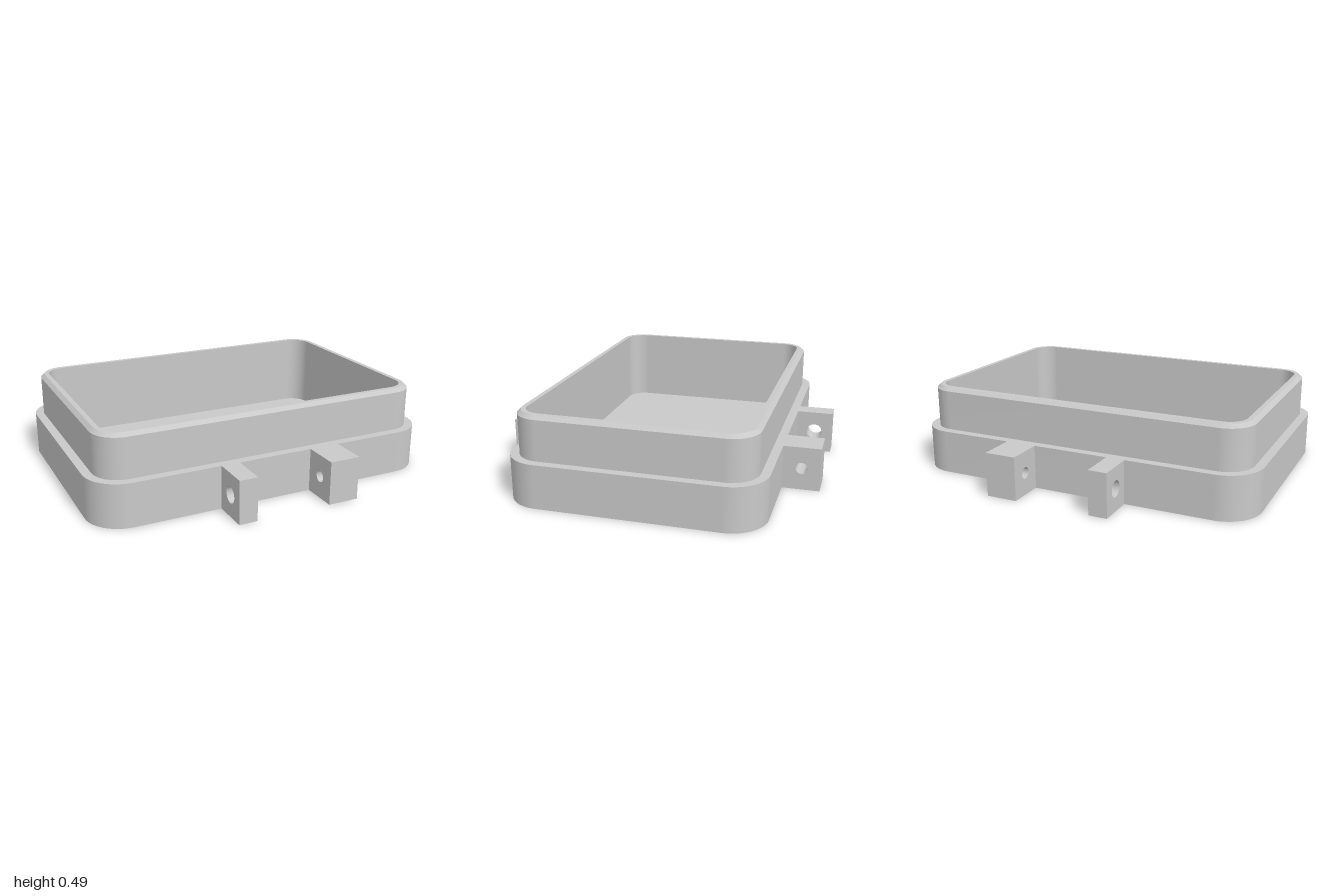
import * as THREE from 'three';
import { mergeGeometries, toCreasedNormals } from 'three/addons/utils/BufferGeometryUtils.js';

const ARC = 12; // segments per rounded corner

// Rounded rectangle loop, inset from the 2 x 1.38 footprint, at height y
function loop(inset, y) {
  const r = 0.2 - inset, points = [];
  for (let c = 0; c < 4; c++) {
    const cx = (c === 0 || c === 3 ? 1 : -1) * 0.8;
    const cz = (c < 2 ? 1 : -1) * 0.49;
    for (let i = 0; i <= ARC; i++) {
      const a = (c + i / ARC) * Math.PI / 2;
      points.push([cx + r * Math.cos(a), y, cz + r * Math.sin(a)]);
    }
  }
  return points;
}

function surface(points, index) {
  const g = new THREE.BufferGeometry();
  g.setAttribute('position', new THREE.Float32BufferAttribute(points.flat(), 3));
  g.setIndex(index);
  g.computeVertexNormals();
  return g;
}

// Wall between two successive loops, smooth around and sharp at its rims
function band(a, b) {
  const n = a.length, index = [];
  for (let i = 0; i < n; i++) {
    const j = (i + 1) % n;
    index.push(i, n + i, j, j, n + i, n + j);
  }
  return surface([...a, ...b], index);
}

// Flat cap fanned from the centre
function cap(a, up) {
  const n = a.length, index = [];
  for (let i = 0; i < n; i++) {
    const j = (i + 1) % n;
    index.push(n, up ? j : i, up ? i : j);
  }
  return surface([...a, [0, a[0][1], 0]], index);
}

export function createModel() {
  const group = new THREE.Group();
  const grey = new THREE.MeshStandardMaterial({ color: 0xc9c9c9 });
  grey.name = 'grey plastic';

  const add = (name, geometry) => {
    const mesh = new THREE.Mesh(geometry, grey);
    mesh.name = name;
    group.add(mesh);
    return mesh;
  };

  // Stepped tray, from the outer foot over the chamfered rim to the floor
  const bottom = loop(0, 0), step = loop(0, 0.243), foot = loop(0.049, 0.243);
  const shoulder = loop(0.049, 0.467), rimOut = loop(0.07, 0.487);
  const rimIn = loop(0.097, 0.487), floor = loop(0.097, 0.056);
  add('base', mergeGeometries([cap(bottom, false), band(bottom, step), band(step, foot)]));
  add('upperWall', mergeGeometries([band(foot, shoulder), band(shoulder, rimOut), band(rimOut, rimIn)]));
  add('cavity', mergeGeometries([band(rimIn, floor), cap(floor, true)]));

  // Drilled hinge lugs on both long sides: narrow with a wide hole, wide with a narrow hole
  const lugs = [
    { name: 'narrowLug', x: -0.32, width: 0.104, hole: 0.045 },
    { name: 'wideLug', x: 0.213, width: 0.175, hole: 0.032 },
  ];
  for (const { name, x, width, hole } of lugs) {
    const h = 0.1025;
    const shape = new THREE.Shape();
    shape.moveTo(-h, 0).lineTo(h, 0).lineTo(h, 0.243).lineTo(-h, 0.243).closePath();
    shape.holes.push(new THREE.Path().absarc(0, 0.123, hole, 0, Math.PI * 2, true));
    const extruded = new THREE.ExtrudeGeometry(shape, { depth: width, bevelEnabled: false, curveSegments: 24 });
    const geometry = toCreasedNormals(extruded, 0.6).rotateY(Math.PI / 2);
    for (const side of [1, -1]) {
      add((side > 0 ? 'front ' : 'back ') + name, geometry).position.set(x, 0, side * 0.7925);
    }
  }
  return group;
}
